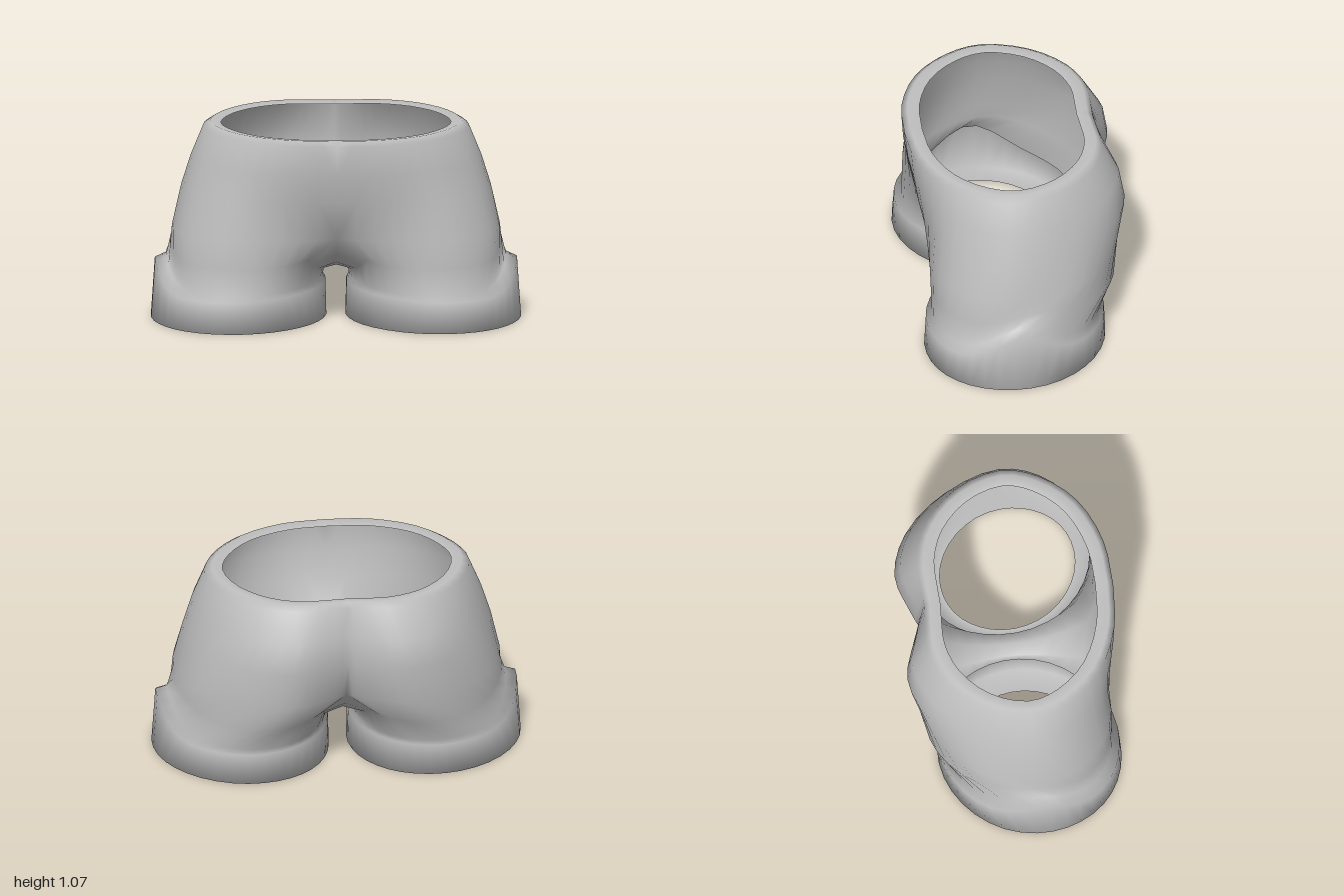
import * as THREE from 'three';
import { mergeVertices } from 'three/addons/utils/BufferGeometryUtils.js';

const OUTER = 27; // steps from front centre round the outside to back centre
const RING = 36; // steps round a whole leg
const { lerp, degToRad } = THREE.MathUtils;
const angle = (i) => degToRad(i * 10 - 45);

// Half sections of the hips, front centre to back centre: [x, z]
const hips = [
  [0.5, [[0, .44], [.3, .50], [.62, .485], [.83, .30], [.885, .06], [.79, -.26], [.55, -.465], [.3, -.53], [.1, -.46], [0, -.41]]],
  [0.72, [[0, .53], [.3, .525], [.58, .455], [.77, .27], [.835, .05], [.74, -.25], [.53, -.49], [.3, -.575], [.1, -.52], [0, -.48]]],
  [0.88, [[0, .56], [.28, .545], [.54, .45], [.725, .26], [.785, .05], [.69, -.24], [.5, -.46], [.28, -.548], [.1, -.50], [0, -.47]]],
  [1.045, [[0, .578], [.25, .555], [.5, .44], [.66, .25], [.718, .05], [.64, -.2], [.47, -.38], [.28, -.455], [.1, -.455], [0, -.45]]],
];

function hipRow([y, pts]) {
  const curve = new THREE.CatmullRomCurve3(pts.map(([x, z]) => new THREE.Vector3(x, y, z)));
  const row = curve.getPoints(OUTER);
  row[0].x = row[OUTER].x = 0;
  return row;
}

// Ring round one leg, slightly skewed so its front lies further out
function legRow(cx, cz, rx, rz, height) {
  return Array.from({ length: RING }, (_, i) => {
    const a = angle(i), s = Math.sin(a), c = Math.cos(a);
    return new THREE.Vector3(cx + rx * s + .03 * c * (1 - s * s), height(s), cz + rz * c + .03 * s * Math.abs(s));
  });
}

// Cloth of the +x half, with edges folded inward at the hem and waist
function halfCloth() {
  const cuffTop = (s) => 0.17 + 0.15 * Math.max(0, s) ** 10 + 0.02 * Math.max(0, -s);
  const upper = hips.map(hipRow);

  // Folded waistband: rounded top, then the inner edge
  const waist = upper[3];
  const fold = (y, sx, sz) => waist.map((p) => new THREE.Vector3(p.x * sx, y, .04 + (p.z - .04) * sz));
  upper.push(fold(1.07, .945, .94), fold(1.06, .865, .82));

  // Fork ring: lowest hip section closed by the seam under the crotch
  const fork = upper[0].slice();
  for (let i = OUTER + 1; i < RING; i++) {
    const t = (i - OUTER) / (RING - OUTER);
    const y = 0.28 + 0.22 * Math.abs(2 * t - 1) ** 2.5;
    fork.push(new THREE.Vector3(0, y, lerp(-.41, .44, t)));
  }

  const hemLip = legRow(.525, .065, .345, .37, () => .01);
  const hem = legRow(.525, .06, .475, .495, () => 0);
  const cuff = legRow(.517, .058, .462, .487, cuffTop);
  const shin = legRow(.495, .047, .425, .462, (s) => cuffTop(s) + .025);

  // Thigh ring between shin and fork, kept wide on the inside for the gusset
  const thigh = shin.map((p, i) => {
    const inside = Math.max(0, -Math.sin(angle(i)));
    return new THREE.Vector3(
      lerp(p.x, fork[i].x, .5 - .4 * inside),
      lerp(p.y, fork[i].y, .5 + .25 * inside ** 4),
      lerp(p.z, fork[i].z, .55 - .2 * Math.cos(angle(i))));
  });

  const positions = [];
  const quad = (a, b, c, d) => {
    for (const p of [a, b, c, a, c, d]) positions.push(p.x, p.y, p.z);
  };
  const legs = [hemLip, hem, cuff, shin, thigh, fork];
  for (let r = 0; r + 1 < legs.length; r++) {
    for (let i = 0; i < RING; i++) {
      const j = (i + 1) % RING;
      quad(legs[r][i], legs[r][j], legs[r + 1][j], legs[r + 1][i]);
    }
  }
  for (let r = 0; r + 1 < upper.length; r++) {
    for (let i = 0; i < OUTER; i++) {
      quad(upper[r][i], upper[r][i + 1], upper[r + 1][i + 1], upper[r + 1][i]);
    }
  }
  return positions;
}

// Adds the mirrored half and welds both along the centre seam
function clothGeometry() {
  const half = halfCloth();
  const all = half.slice();
  for (let i = 0; i < half.length; i += 9) {
    for (const k of [0, 6, 3]) all.push(-half[i + k], half[i + k + 1], half[i + k + 2]);
  }
  const geometry = new THREE.BufferGeometry();
  geometry.setAttribute('position', new THREE.Float32BufferAttribute(all, 3));
  const welded = mergeVertices(geometry, 1e-4);
  welded.computeVertexNormals();
  return welded;
}

export function createModel() {
  const group = new THREE.Group();
  group.name = 'shorts';
  const fabric = new THREE.MeshStandardMaterial({ color: 0xc0c0c0, side: THREE.DoubleSide });
  fabric.name = 'grey fabric';
  const shorts = new THREE.Mesh(clothGeometry(), fabric);
  shorts.name = 'shortsFabric';
  group.add(shorts);
  return group;
}
